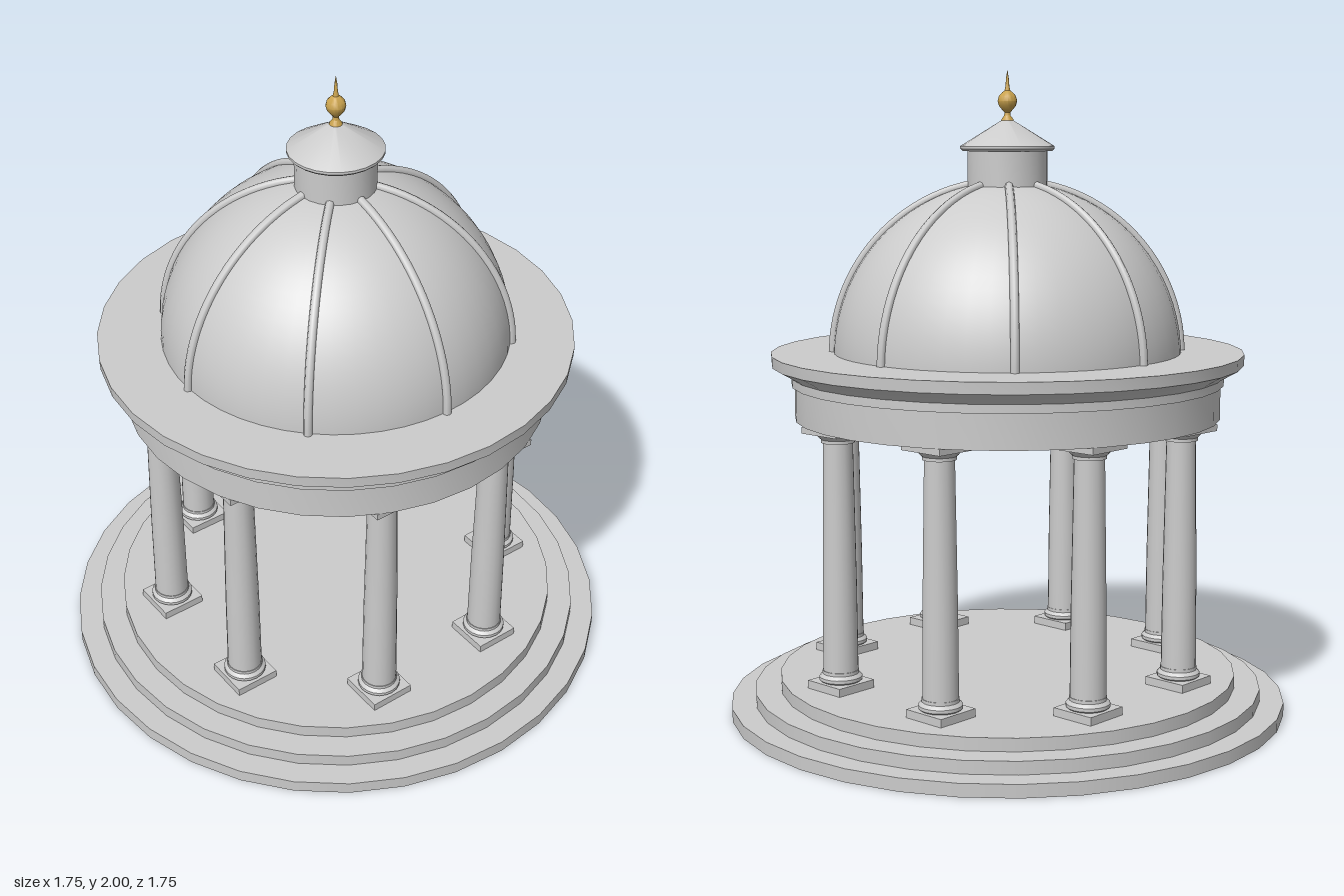
import * as THREE from 'three';
import { toCreasedNormals } from 'three/addons/utils/BufferGeometryUtils.js';

const stone = new THREE.MeshStandardMaterial({ color: 0xcccccc });
const gold = new THREE.MeshStandardMaterial({ color: 0xc9a24d });

function add(parent, name, geometry, y = 0, material = stone) {
  const mesh = new THREE.Mesh(geometry, material);
  mesh.name = name;
  mesh.position.y = y;
  parent.add(mesh);
  return mesh;
}

// Turned solid from [radius, height] pairs, listed bottom to top
function turned(profile, sides) {
  const points = profile.map(([r, y]) => new THREE.Vector2(r, y));
  return toCreasedNormals(new THREE.LatheGeometry(points, sides), 0.6);
}

function createColumn() {
  const column = new THREE.Group();
  column.name = 'column';
  add(column, 'plinth', new THREE.BoxGeometry(0.143, 0.025, 0.143), 0.1325);
  // Base moulding, tapering shaft, neck ring and flared capital
  add(column, 'shaft', turned([
    [0, 0.145], [0.06, 0.145], [0.066, 0.15], [0.066, 0.16], [0.06, 0.167],
    [0.056, 0.17], [0.056, 0.18], [0.054, 0.18], [0.052, 0.45], [0.045, 0.885],
    [0.051, 0.885], [0.051, 0.895], [0.055, 0.898], [0.07, 0.915], [0, 0.915],
  ], 20));
  add(column, 'abacus', new THREE.BoxGeometry(0.155, 0.02, 0.155), 0.922);
  return column;
}

export function createModel() {
  const model = new THREE.Group();
  model.name = 'domedPavilion';

  // Three round steps
  [0.875, 0.8, 0.72].forEach((r, i) => {
    add(model, 'step', new THREE.CylinderGeometry(r, r, 0.04, 32), 0.02 + i * 0.04);
  });

  // Ring of eight columns, all square to the front
  for (let i = 0; i < 8; i++) {
    const angle = (i + 0.5) * Math.PI / 4;
    const column = createColumn();
    column.position.set(Math.sin(angle) * 0.5626, 0, Math.cos(angle) * 0.5626);
    model.add(column);
  }

  // Frieze, band and projecting cornice
  add(model, 'entablature', turned([
    [0, 0.932], [0.663, 0.932], [0.663, 1.038], [0.673, 1.038], [0.673, 1.064],
    [0.68, 1.07], [0.733, 1.1], [0.735, 1.135], [0, 1.135],
  ], 32));

  // Hemispherical dome with eight ribs
  const domeY = 1.12, domeR = 0.54;
  add(model, 'dome', new THREE.SphereGeometry(domeR, 48, 20, 0, Math.PI * 2, 0, Math.PI / 2), domeY);
  const ribPoints = [];
  for (let i = 0; i <= 12; i++) {
    const t = i / 12 * 1.36;
    ribPoints.push(new THREE.Vector3(Math.cos(t) * 0.543, Math.sin(t) * 0.543, 0));
  }
  const ribGeometry = new THREE.TubeGeometry(new THREE.CatmullRomCurve3(ribPoints), 24, 0.013, 8);
  for (let i = 0; i < 8; i++) {
    add(model, 'rib', ribGeometry, domeY).rotation.y = i * Math.PI / 4;
  }

  // Lantern drum with rim and shallow roof
  add(model, 'lantern', turned([
    [0, 1.6], [0.123, 1.6], [0.123, 1.753], [0.138, 1.753], [0.145, 1.76],
    [0.145, 1.768], [0.02, 1.845], [0, 1.85],
  ], 24));

  // Finial: flared foot, ball and spike
  add(model, 'finial', turned([
    [0, 1.835], [0.022, 1.838], [0.018, 1.85], [0.01, 1.86], [0.009, 1.87],
    [0.016, 1.878], [0.026, 1.89], [0.03, 1.905], [0.026, 1.92], [0.016, 1.931],
    [0.009, 1.936], [0.006, 1.95], [0.004, 1.975], [0, 2],
  ], 16), 0, gold);

  return model;
}
